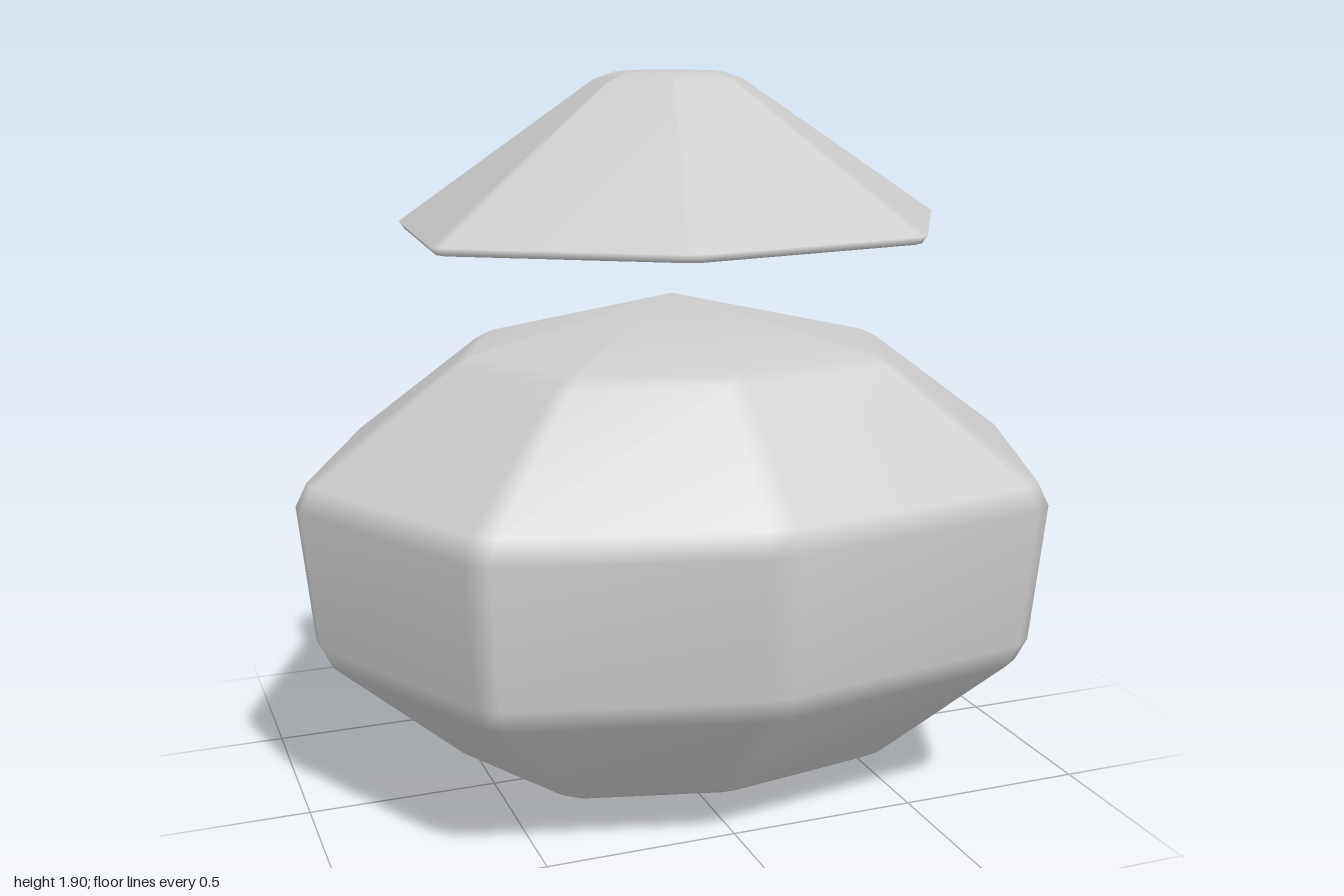
import * as THREE from 'three';

// Split every corner of an [x, z] outline in two, for a narrow bevel.
function bevelOutline(points, t) {
  const n = points.length;
  const mix = (a, b) => [a[0] + (b[0] - a[0]) * t, a[1] + (b[1] - a[1]) * t];
  return points.flatMap((p, i) => [
    mix(p, points[(i + n - 1) % n]),
    mix(p, points[(i + 1) % n]),
  ]);
}

// Stack scaled copies of an outline, closed by a point at the bottom and top.
// levels: [y, scale], ordered upwards; centre: [x, z]; poles: [x, y, z].
function stackRings(outline, centre, levels, bottom, top) {
  const n = outline.length;
  const positions = [];
  const index = [];
  for (const [y, s] of levels) {
    for (const [x, z] of outline) {
      positions.push(centre[0] + (x - centre[0]) * s, y, centre[1] + (z - centre[1]) * s);
    }
  }
  positions.push(...bottom, ...top);
  const low = levels.length * n;
  const high = low + 1;
  const last = (levels.length - 1) * n;
  for (let i = 0; i < n; i++) {
    const j = (i + 1) % n;
    index.push(low, i, j);
    for (let k = 0; k < last; k += n) {
      index.push(k + i, k + n + i, k + j, k + j, k + n + i, k + n + j);
    }
    index.push(last + i, high, last + j);
  }
  const geometry = new THREE.BufferGeometry();
  geometry.setAttribute('position', new THREE.Float32BufferAttribute(positions, 3));
  geometry.setIndex(index);
  geometry.computeVertexNormals(); // area weighted, so the large facets stay flat
  return geometry;
}

export function createModel() {
  const group = new THREE.Group();
  const material = new THREE.MeshStandardMaterial({ color: 0xcccccc });

  function addPart(name, geometry) {
    const mesh = new THREE.Mesh(geometry, material);
    mesh.name = name;
    group.add(mesh);
  }

  // Eight-sided faceted boulder
  const bodyOutline = bevelOutline([
    [-0.74, -0.56], [-0.02, -0.84], [0.62, -0.46], [1.01, 0.05],
    [0.77, 0.69], [-0.01, 0.82], [-0.7, 0.64], [-1.01, 0.04],
  ], 0.05);
  addPart('body', stackRings(bodyOutline, [0, 0.05], [
    [0.105, 0.55], [0.13, 0.6], [0.42, 0.935], [0.48, 0.965],
    [0.84, 1], [0.9, 0.97], [1.18, 0.59], [1.2, 0.55],
  ], [0, 0, 0.07], [0, 1.33, 0.04]));

  // Seven-sided sloping cap floating above, flat underneath
  const capOutline = bevelOutline([
    [-0.17, -0.545], [0.425, -0.39], [0.75, 0.06], [0.47, 0.55],
    [-0.17, 0.65], [-0.7, 0.33], [-0.665, -0.21],
  ], 0.03);
  addPart('cap', stackRings(capOutline, [-0.02, 0.06], [
    [1.5, 0.98], [1.52, 1], [1.88, 0.27], [1.9, 0.19],
  ], [0, 1.5, 0.06], [-0.01, 1.903, 0.06]));

  return group;
}
